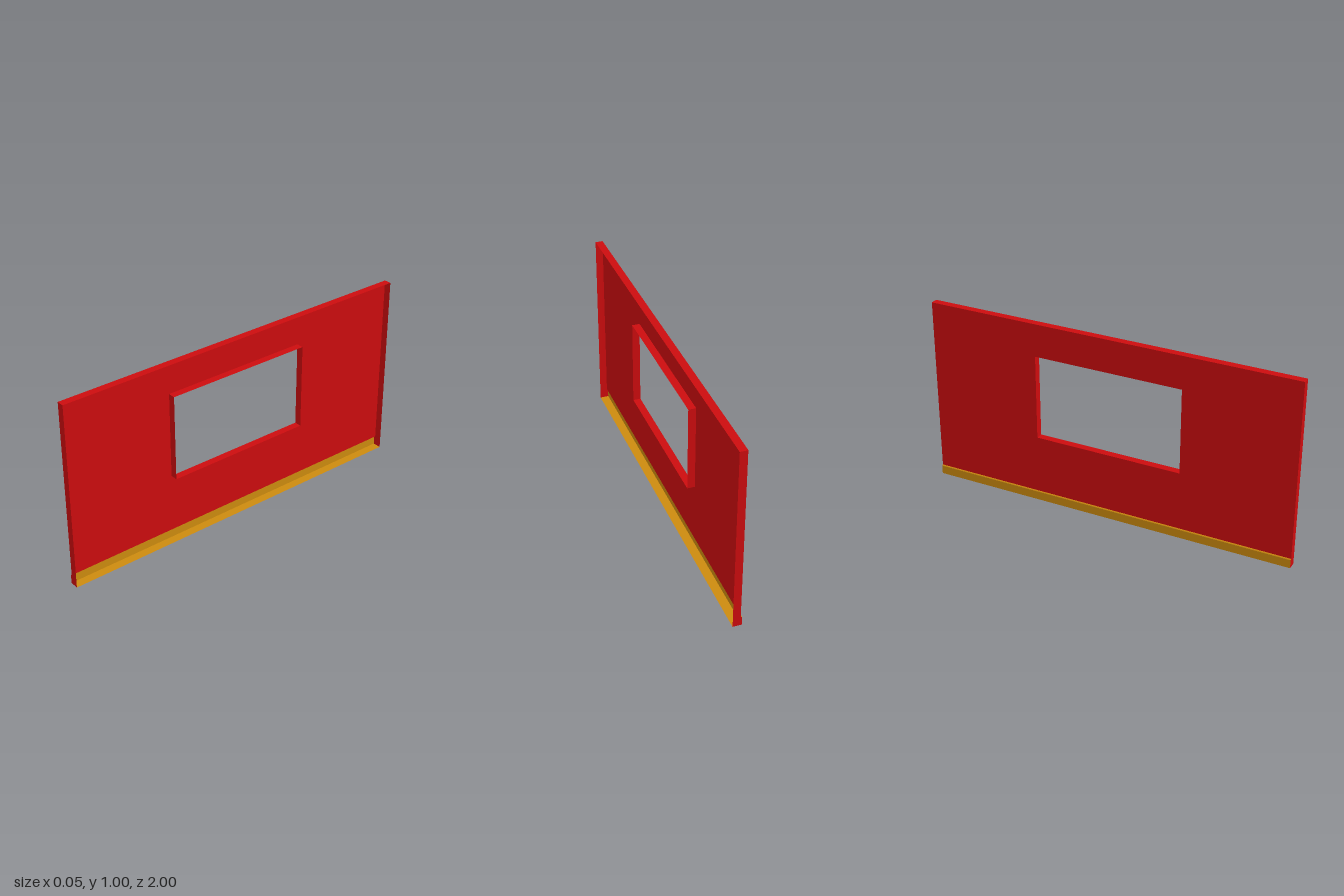
import * as THREE from 'three';

const BACK = 0.023, FACE = -0.016, OUT = -0.023; // x of open side, wall face, trim face
const TRIM = 0.05;                               // trim height
const HOLE = { z: 0.4, bottom: 0.366, top: 0.824 };

const material = (color) => new THREE.MeshStandardMaterial({ color, side: THREE.DoubleSide, flatShading: true });

// Sweep an open polyline of [x, y] points straight along z
function sweep(points, z0, z1) {
  const pos = [];
  for (let i = 0; i < points.length - 1; i++) {
    const [a, b] = [points[i], points[i + 1]];
    pos.push(...a, z0, ...b, z0, ...b, z1, ...a, z0, ...b, z1, ...a, z1);
  }
  const g = new THREE.BufferGeometry();
  g.setAttribute('position', new THREE.Float32BufferAttribute(pos, 3));
  g.computeVertexNormals();
  return g;
}

const toShape = (points) => new THREE.Shape(points.map(([x, y]) => new THREE.Vector2(x, y)));

export function createModel() {
  const group = new THREE.Group();
  const red = material(0xcc0c0e), gold = material(0xcc8a0e);
  const add = (name, geometry, mat) => {
    const mesh = new THREE.Mesh(geometry, mat);
    mesh.name = name;
    group.add(mesh);
    return mesh;
  };

  // Wall sheet with the window opening, facing -x
  const { z, bottom, top } = HOLE;
  const opening = [[z, bottom], [-z, bottom], [-z, top], [z, top]];
  const wall = toShape([[-1, TRIM], [1, TRIM], [1, 1], [-1, 1]]);
  wall.holes.push(toShape(opening));
  add('wallSheet', new THREE.ShapeGeometry(wall).rotateY(-Math.PI / 2).translate(FACE, 0, 0), red);

  // Lining of the window opening
  add('windowLining', sweep([...opening, opening[0]], -BACK, -FACE).rotateY(-Math.PI / 2), red);

  // Top edge
  add('topEdge', sweep([[BACK, 1], [FACE, 1]], -1, 1), red);

  // Bottom trim with a small chamfer, running under the wall
  const trim = [[FACE, TRIM], [OUT + 0.003, TRIM], [OUT, TRIM - 0.004], [OUT, 0], [BACK, 0]];
  add('bottomTrim', sweep(trim, -1, 1), gold);

  // End caps follow the wall and trim profile; the +x side stays open
  const cap = new THREE.ShapeGeometry(toShape([[BACK, 1], [FACE, 1], ...trim]));
  add('frontEndCap', cap.clone().translate(0, 0, 1), red);
  // Reversed winding so the back cap faces outward
  const backCap = cap.clone().translate(0, 0, -1);
  backCap.setIndex([...backCap.index.array].reverse());
  backCap.computeVertexNormals();
  add('backEndCap', backCap, red);

  return group;
}
